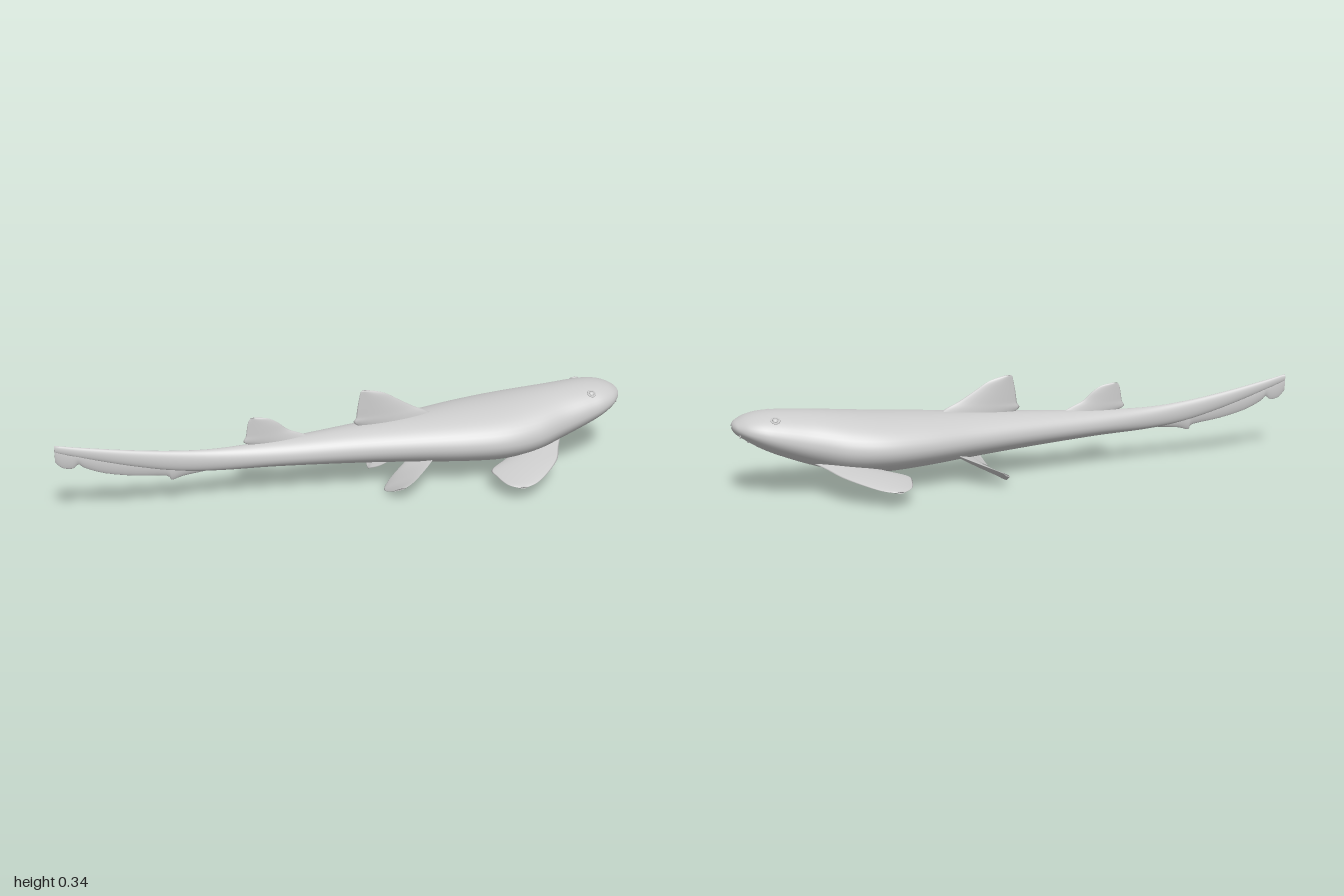
import * as THREE from 'three';

const V = (x, y, z = 0) => new THREE.Vector3(x, y, z);
const grey = () => new THREE.MeshStandardMaterial({ color: 0xcccccc });
const smooth = (pts) => new THREE.CatmullRomCurve3(pts, false, 'catmullrom', 0.5);

// Skin a list of closed rings, closing both ends with a centre point
function loft(rings) {
  const n = rings[0].length, pos = [], idx = [];
  rings.forEach((r) => r.forEach((p) => pos.push(p.x, p.y, p.z)));
  for (let i = 0; i < rings.length - 1; i++) {
    for (let j = 0; j < n; j++) {
      const k = (j + 1) % n, a = i * n + j, b = i * n + k;
      idx.push(a, a + n, b, b, a + n, b + n);
    }
  }
  const cap = (r, base, flip) => {
    const c = r.reduce((s, p) => s.add(p), V(0, 0)).divideScalar(n);
    const m = pos.length / 3;
    pos.push(c.x, c.y, c.z);
    for (let j = 0; j < n; j++) {
      const a = base + j, b = base + (j + 1) % n;
      idx.push(m, flip ? b : a, flip ? a : b);
    }
  };
  cap(rings[0], 0, true);
  cap(rings[rings.length - 1], (rings.length - 1) * n, false);
  const g = new THREE.BufferGeometry();
  g.setAttribute('position', new THREE.Float32BufferAttribute(pos, 3));
  g.setIndex(idx);
  g.computeVertexNormals();
  return g;
}

// Body stations, tail to nose: x, top, bottom, half width, height of widest point
const stations = [
  [-1.0, 0.275, 0.25, 0.005, 0.262], [-0.9, 0.254, 0.215, 0.009, 0.235],
  [-0.75, 0.226, 0.168, 0.013, 0.197], [-0.6, 0.204, 0.132, 0.017, 0.167],
  [-0.45, 0.193, 0.115, 0.026, 0.153], [-0.25, 0.198, 0.107, 0.051, 0.148],
  [0.0, 0.213, 0.091, 0.086, 0.147], [0.2, 0.225, 0.076, 0.122, 0.146],
  [0.38, 0.24, 0.062, 0.162, 0.145], [0.52, 0.25, 0.056, 0.18, 0.146],
  [0.64, 0.262, 0.064, 0.168, 0.152], [0.75, 0.273, 0.094, 0.137, 0.172],
  [0.85, 0.28, 0.132, 0.12, 0.196], [0.91, 0.279, 0.16, 0.108, 0.212],
  [0.955, 0.27, 0.188, 0.086, 0.223], [0.985, 0.256, 0.208, 0.054, 0.231],
  [0.997, 0.246, 0.222, 0.027, 0.234], [1.0, 0.238, 0.232, 0.006, 0.235],
];
const heights = smooth(stations.map((s) => V(s[0], s[1], s[2])));
const widths = smooth(stations.map((s) => V(s[0], s[3], s[4])));

// Point on the skin at curve parameter t and angle a (0 = left side, up positive)
function skin(t, a) {
  const h = heights.getPoint(t), w = widths.getPoint(t), c = Math.cos(a), s = Math.sin(a);
  const reach = s > 0 ? h.y - w.z : w.z - h.z;
  const z = w.y * Math.sign(c) * Math.abs(c) ** (s < 0 ? 0.9 : 1);
  return V(h.x, w.z + reach * s, z);
}
function skinAt(x, a) {
  let lo = 0, hi = 1;
  for (let i = 0; i < 30; i++) {
    const m = (lo + hi) / 2;
    if (heights.getPoint(m).x < x) lo = m; else hi = m;
  }
  return skin(lo, a);
}

function bodyGeometry() {
  const rings = [], rows = 110, n = 48;
  for (let i = 0; i <= rows; i++) {
    rings.push(Array.from({ length: n }, (_, j) => skin(i / rows, (j / n) * Math.PI * 2)));
  }
  return loft(rings);
}

// Fin lofted from leading and trailing edges, thinning from root to tip
function finGeometry(lead, trail, root, tip) {
  const L = smooth(lead), T = smooth(trail), rows = 30, n = 20, rings = [];
  const span = L.getPoint(1).add(T.getPoint(1)).sub(L.getPoint(0)).sub(T.getPoint(0)).normalize();
  for (let i = 0; i <= rows; i++) {
    const t = i / rows, l = L.getPoint(t), e = T.getPoint(t);
    const mid = l.clone().add(e).multiplyScalar(0.5);
    const half = l.clone().sub(e).multiplyScalar(0.5);
    const up = half.clone().cross(span).normalize();
    const thick = root + (tip - root) * t;
    rings.push(Array.from({ length: n }, (_, j) => {
      const a = (j / n) * Math.PI * 2, s = Math.sin(a);
      return mid.clone().addScaledVector(half, Math.cos(a))
        .addScaledVector(up, thick * s * Math.sqrt(Math.abs(s)));
    }));
  }
  return loft(rings);
}

export function createModel() {
  const group = new THREE.Group();
  const add = (name, geometry, side = THREE.FrontSide) => {
    const mesh = new THREE.Mesh(geometry, grey());
    mesh.material.side = side;
    mesh.name = name;
    group.add(mesh);
    return mesh;
  };
  const fin = (name, lead, trail, root, tip) =>
    add(name, finGeometry(lead, trail, root, tip), THREE.DoubleSide);

  add('body', bodyGeometry());

  // Fins on the back
  fin('frontDorsalFin',
    [V(0.34, 0.19), V(0.29, 0.235), V(0.235, 0.262), V(0.18, 0.294), V(0.13, 0.324), V(0.085, 0.338), V(0.06, 0.342)],
    [V(0.08, 0.19), V(0.02, 0.224), V(0.026, 0.245), V(0.03, 0.275), V(0.036, 0.31), V(0.042, 0.336), V(0.048, 0.342)],
    0.016, 0.003);
  fin('rearDorsalFin',
    [V(-0.1, 0.18), V(-0.17, 0.213), V(-0.215, 0.233), V(-0.25, 0.262), V(-0.285, 0.282), V(-0.33, 0.29)],
    [V(-0.31, 0.18), V(-0.368, 0.202), V(-0.362, 0.225), V(-0.358, 0.25), V(-0.353, 0.275), V(-0.345, 0.289)],
    0.011, 0.003);

  // Tail blade with a stepped front lobe and a notch before the tip
  fin('tailFin',
    [V(-0.5, 0.16), V(-0.58, 0.17), V(-0.62, 0.175), V(-0.64, 0.178), V(-0.74, 0.197), V(-0.84, 0.22),
      V(-0.91, 0.238), V(-0.93, 0.243), V(-0.95, 0.25), V(-0.98, 0.262), V(-1.0, 0.272)],
    [V(-0.5, 0.118), V(-0.58, 0.11), V(-0.62, 0.1), V(-0.637, 0.118), V(-0.74, 0.132), V(-0.84, 0.155),
      V(-0.905, 0.183), V(-0.925, 0.199), V(-0.945, 0.186), V(-0.978, 0.193), V(-1.0, 0.215)],
    0.009, 0.004);

  // Paired parts: the right one mirrors the left
  for (const [label, sign] of [['left', 1], ['right', -1]]) {
    fin(label + 'PectoralFin',
      [V(0.77, 0.118, 0.06), V(0.725, 0.105, 0.14), V(0.69, 0.092, 0.21), V(0.635, 0.075, 0.265),
        V(0.58, 0.06, 0.302), V(0.535, 0.053, 0.315)],
      [V(0.56, 0.098, 0.06), V(0.545, 0.084, 0.12), V(0.462, 0.068, 0.175), V(0.46, 0.063, 0.225),
        V(0.477, 0.056, 0.283), V(0.51, 0.052, 0.312)],
      0.016, 0.003).scale.z = sign;

    fin(label + 'PelvicFin',
      [V(0.3, 0.115, 0.07), V(0.26, 0.1, 0.12), V(0.21, 0.082, 0.165), V(0.17, 0.067, 0.193), V(0.14, 0.053, 0.2)],
      [V(0.2, 0.075, 0.03), V(0.14, 0.03, 0.05), V(0.105, 0.008, 0.08), V(0.1, 0.004, 0.105), V(0.11, 0.032, 0.17)],
      0.011, 0.003).scale.z = sign;

    // Eye: a small ball in a raised rim
    const p = skinAt(0.87, 0.86), q = skinAt(0.87, 0.76);
    const tangent = p.clone().sub(q).normalize();
    const out = V(0, -tangent.z, tangent.y);
    const eye = new THREE.Group();
    eye.name = label + 'Eye';
    const rim = new THREE.Mesh(new THREE.TorusGeometry(0.013, 0.003, 8, 24), grey());
    rim.name = 'eyeRim';
    const ball = new THREE.Mesh(new THREE.SphereGeometry(0.009, 16, 10), grey());
    ball.name = 'eyeball';
    ball.scale.z = 0.6;
    eye.add(rim, ball);
    eye.position.set(p.x, p.y, p.z * sign);
    eye.lookAt(p.x, p.y + out.y, (p.z + out.z) * sign);
    group.add(eye);

    // Nostril
    const nostril = add(label + 'Nostril', new THREE.TorusGeometry(0.006, 0.002, 6, 16));
    const n = skinAt(0.98, -0.75);
    nostril.position.set(n.x, n.y, n.z * sign);
    nostril.rotation.y = Math.PI / 2;
  }

  // Mouth: a thin lip curving across the underside of the snout
  const lip = Array.from({ length: 13 }, (_, i) => skinAt(0.952, -Math.PI / 2 + (i / 6 - 1) * 0.65));
  add('mouth', new THREE.TubeGeometry(smooth(lip), 40, 0.003, 6, false), THREE.DoubleSide);

  return group;
}
